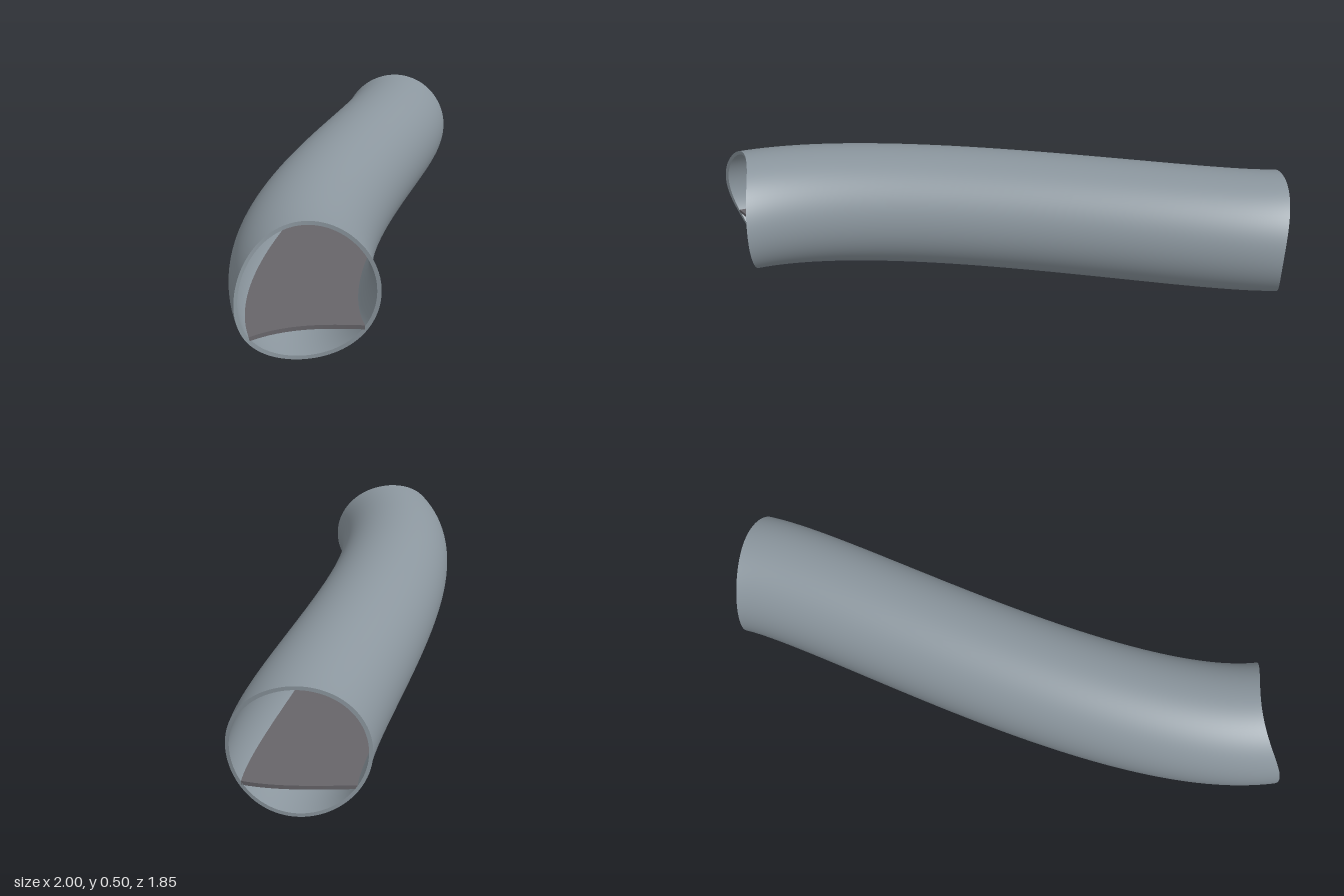
import * as THREE from 'three';
import { ParametricGeometry } from 'three/addons/geometries/ParametricGeometry.js';

const OUTER = 0.252, INNER = 0.238, MID_Y = 0.252;
const FLOOR_TOP = 0.125, FLOOR_BOTTOM = 0.11, FLOOR_HALF = 0.2;

// S-bent centre line, from the front mouth to the back mouth
const P0 = new THREE.Vector3(-0.765, 0, 0.835);
const P3 = new THREE.Vector3(0.81, 0, -0.765);
const P1 = P0.clone().add(new THREE.Vector3(0.34, 0, -0.94).multiplyScalar(0.63));
const P2 = P3.clone().sub(new THREE.Vector3(0.656, 0, -0.755).multiplyScalar(0.4));

// Point on the sweep: s along the tube, side across it, y up.
// The front mouth is cut by a concave arc, the back mouth by a shallow convex one.
function sweepPoint(s, side, y, target) {
  const k = 1 - (side / OUTER) ** 2;
  const t = s + (1 - s) * 0.036 * k + s * 0.024 * k;
  const r = 1 - t;
  target.set(0, 0, 0)
    .addScaledVector(P0, r * r * r)
    .addScaledVector(P1, 3 * r * r * t)
    .addScaledVector(P2, 3 * r * t * t)
    .addScaledVector(P3, t * t * t);
  const dir = new THREE.Vector3()
    .addScaledVector(P0, -r * r)
    .addScaledVector(P1, r * r - 2 * r * t)
    .addScaledVector(P2, 2 * r * t - t * t)
    .addScaledVector(P3, t * t)
    .normalize();
  target.x -= dir.z * side;
  target.z += dir.x * side;
  target.y = y;
}

function ringPoint(s, radius, angle, target) {
  sweepPoint(s, Math.cos(angle) * radius, MID_Y + Math.sin(angle) * radius, target);
}

export function createModel() {
  const group = new THREE.Group();
  const shellGrey = new THREE.MeshStandardMaterial({ color: 0x8c979f });
  shellGrey.name = 'shellGrey';
  const floorGrey = new THREE.MeshStandardMaterial({ color: 0x67656a });
  floorGrey.name = 'floorGrey';

  const add = (parent, name, material, fn, nu, nv) => {
    const mesh = new THREE.Mesh(new ParametricGeometry(fn, nu, nv), material);
    mesh.name = name;
    parent.add(mesh);
  };
  const turn = Math.PI * 2;

  // Tube walls
  const tube = new THREE.Group();
  tube.name = 'tube';
  add(tube, 'outerWall', shellGrey, (u, v, p) => ringPoint(v, OUTER, -u * turn, p), 96, 64);
  add(tube, 'innerWall', shellGrey, (u, v, p) => ringPoint(v, INNER, u * turn, p), 96, 64);

  // Rims closing the wall thickness at both mouths
  for (const [name, s, sign] of [['frontRim', 0, 1], ['backRim', 1, -1]]) {
    add(tube, name, shellGrey,
      (u, v, p) => ringPoint(s, INNER + (OUTER - INNER) * u, sign * v * turn, p), 1, 96);
  }
  group.add(tube);

  // Walkway slab running the whole length
  const floor = new THREE.Group();
  floor.name = 'floor';
  const across = (u, sign) => sign * (2 * u - 1) * FLOOR_HALF;
  add(floor, 'floorTop', floorGrey, (u, v, p) => sweepPoint(v, across(u, 1), FLOOR_TOP, p), 16, 64);
  add(floor, 'floorUnderside', floorGrey, (u, v, p) => sweepPoint(v, across(u, -1), FLOOR_BOTTOM, p), 16, 64);
  for (const [name, s, sign] of [['floorFrontEdge', 0, 1], ['floorBackEdge', 1, -1]]) {
    add(floor, name, floorGrey, (u, v, p) =>
      sweepPoint(s, across(u, sign), FLOOR_BOTTOM + (FLOOR_TOP - FLOOR_BOTTOM) * v, p), 16, 1);
  }
  group.add(floor);

  return group;
}
